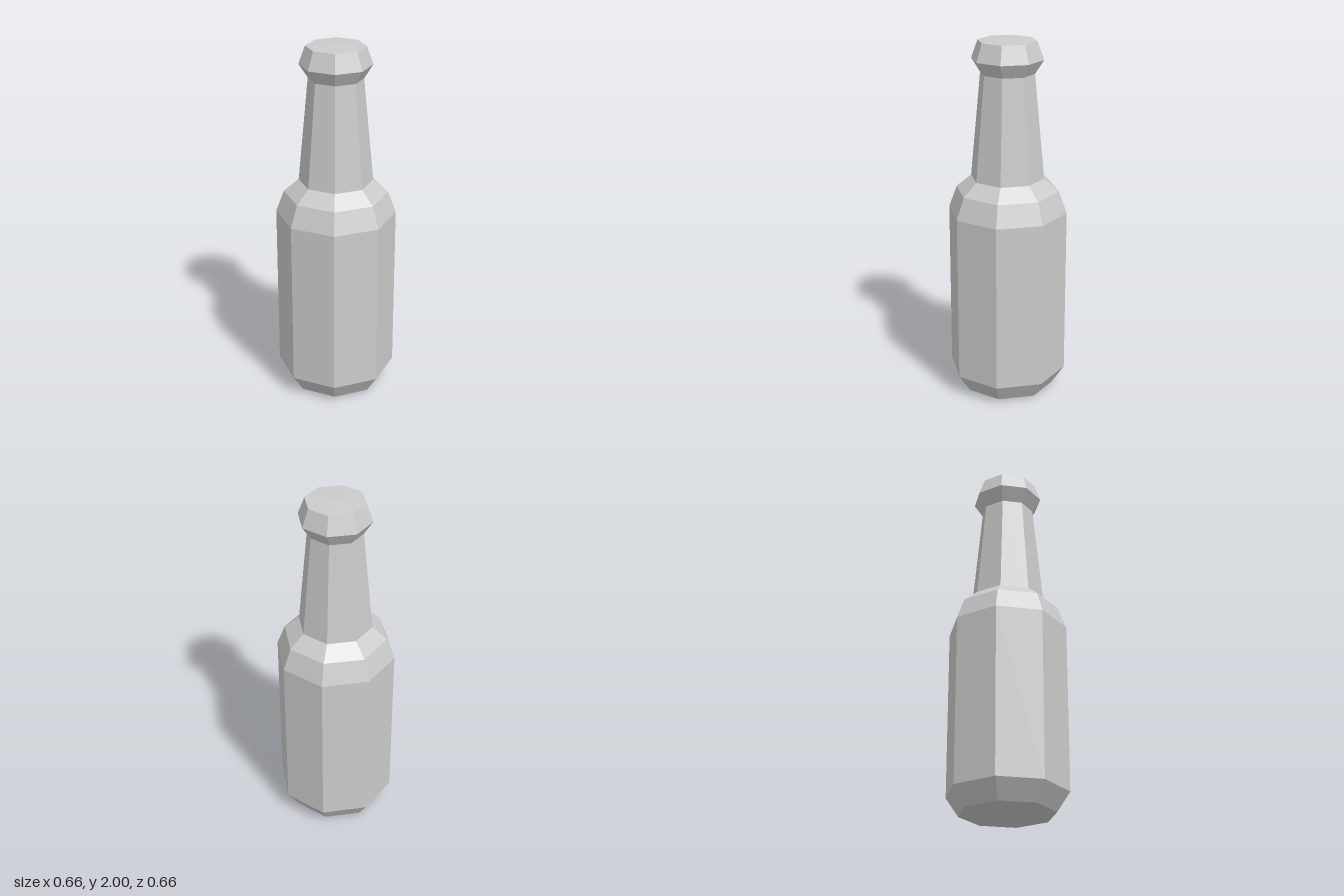
import * as THREE from 'three';

const SIDES = 8;

// Eight-sided turned part; profile is [radius, height] from bottom to top
function turned(name, profile, material) {
  const points = profile.map(([r, y]) => new THREE.Vector2(r, y));
  const mesh = new THREE.Mesh(new THREE.LatheGeometry(points, SIDES), material);
  mesh.name = name;
  return mesh;
}

export function createModel() {
  const group = new THREE.Group();
  group.name = 'bottle';
  const glass = new THREE.MeshStandardMaterial({ color: 0xcccccc, flatShading: true });

  // Base, straight walls and two-step shoulder
  group.add(turned('body', [
    [0, 0], [0.26, 0.01], [0.33, 0.115], [0.33, 1.055], [0.285, 1.175], [0.203, 1.245],
  ], glass));

  // Tapered neck
  group.add(turned('neck', [[0.203, 1.245], [0.148, 1.82]], glass));

  // Flared cap with a bevelled top
  group.add(turned('cap', [[0.148, 1.82], [0.196, 1.895], [0.16, 1.993], [0, 2]], glass));

  return group;
}
